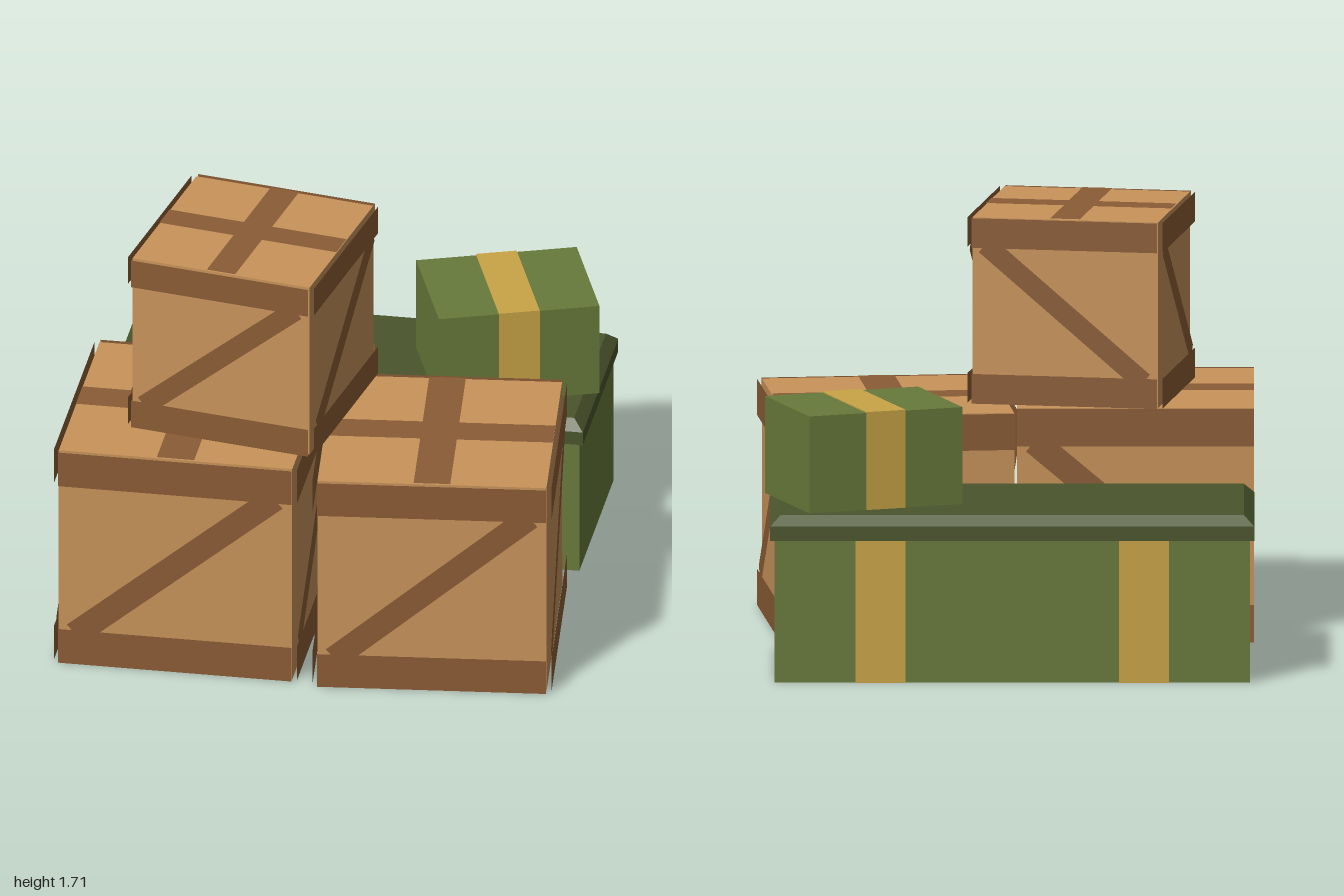
import * as THREE from 'three';

const material = (name, color) => {
  const m = new THREE.MeshStandardMaterial({ color, side: THREE.DoubleSide });
  m.name = name;
  return m;
};

// Box standing on y = 0 without its bottom, optionally without its top
function shell(w, h, d, top = true) {
  const g = new THREE.BoxGeometry(w, h, d).translate(0, h / 2, 0);
  const index = Array.from(g.index.array);
  g.setIndex(index.filter((_, i) => {
    const face = Math.floor(i / 6); // +x, -x, top, bottom, +z, -z
    return face !== 3 && (top || face !== 2);
  }));
  g.clearGroups();
  return g;
}

function add(parent, name, geometry, mat, x = 0, y = 0, z = 0) {
  const mesh = new THREE.Mesh(geometry, mat);
  mesh.name = name;
  mesh.position.set(x, y, z);
  parent.add(mesh);
  return mesh;
}

function group(parent, name, x = 0, y = 0, z = 0, turn = 0) {
  const g = new THREE.Group();
  g.name = name;
  g.position.set(x, y, z);
  g.rotation.y = turn;
  parent.add(g);
  return g;
}

export function createModel() {
  const model = new THREE.Group();
  model.name = 'cratesAndChest';
  const wood = material('lightWood', 0xc8935a);
  const slat = material('darkWood', 0x8b5c35);
  const green = material('green', 0x687a3b);
  const darkGreen = material('darkGreen', 0x4a552c);
  const yellow = material('yellow', 0xc9a546);

  // Open-bottomed crate with floating slats on four sides and a cross on top
  function crate(name, s, x, y, z, turn) {
    const c = group(model, name, x, y, z, turn);
    const band = 0.16 * s;
    add(c, 'crateBody', shell(s, s, s), wood);
    for (let i = 0; i < 4; i++) {
      const side = group(c, 'sideSlats', 0, 0, 0, i * Math.PI / 2);
      const out = s / 2 + 0.02;
      const rail = new THREE.PlaneGeometry(s, band);
      add(side, 'bottomRail', rail, slat, 0, band / 2, out);
      add(side, 'topRail', rail, slat, 0, s - band / 2, out);
      const brace = add(side, 'diagonalBrace', new THREE.PlaneGeometry(1.115 * s, 0.11 * s),
        slat, 0, s / 2, out - 0.004);
      brace.rotation.z = i < 2 ? 0.7 : -0.7; // opposite sides lean the same way
    }
    const strip = new THREE.PlaneGeometry(s, band).rotateX(-Math.PI / 2);
    add(c, 'topSlat', strip, slat, 0, s + 0.005, 0);
    // second arm of the cross, in two halves
    const half = new THREE.PlaneGeometry(band, (s - band) / 2).rotateX(-Math.PI / 2);
    for (const k of [-1, 1]) add(c, 'topCrossSlat', half, slat, 0, s + 0.005, k * (s + band) / 4);
  }

  crate('leftCrate', 0.945, -0.51, 0, 0.463, 0);
  crate('rightCrate', 0.915, 0.476, 0, 0.459, 0.105);
  crate('upperCrate', 0.75, -0.294, 0.952, 0.379, -0.173);

  // Long chest
  const chest = group(model, 'chest', -0.019, 0, -0.573);
  add(chest, 'chestBody', shell(1.896, 0.575, 0.786, false), green);
  for (const sx of [-1, 1]) {
    for (const sz of [-1, 1]) {
      const strap = add(chest, 'chestStrap', new THREE.PlaneGeometry(0.2, 0.575), yellow,
        sx * 0.525, 0.2875, sz * 0.405);
      if (sz < 0) strap.rotation.y = Math.PI;
    }
  }

  // Lid: upright skirt below a bevelled top
  add(chest, 'lidSkirt', shell(1.93, 0.057, 0.82, false), darkGreen, 0, 0.575, 0);
  const bevel = shell(1.93, 0.041, 0.82);
  const p = bevel.attributes.position;
  for (let i = 0; i < p.count; i++) {
    if (p.getY(i) > 0.02) {
      p.setX(i, p.getX(i) - Math.sign(p.getX(i)) * 0.042);
      p.setZ(i, p.getZ(i) - Math.sign(p.getZ(i)) * 0.042);
    }
  }
  bevel.computeVertexNormals();
  add(chest, 'lidTop', bevel, darkGreen, 0, 0.632, 0);

  // Strapped package on the lid
  const box = group(model, 'package', 0.573, 0.674, -0.561, 0.35);
  const [w, h, d] = [0.65, 0.392, 0.516];
  add(box, 'packageBody', shell(w, h, d), green);
  add(box, 'packageStrap', shell(0.165, h + 0.004, d + 0.008), yellow);

  return model;
}
